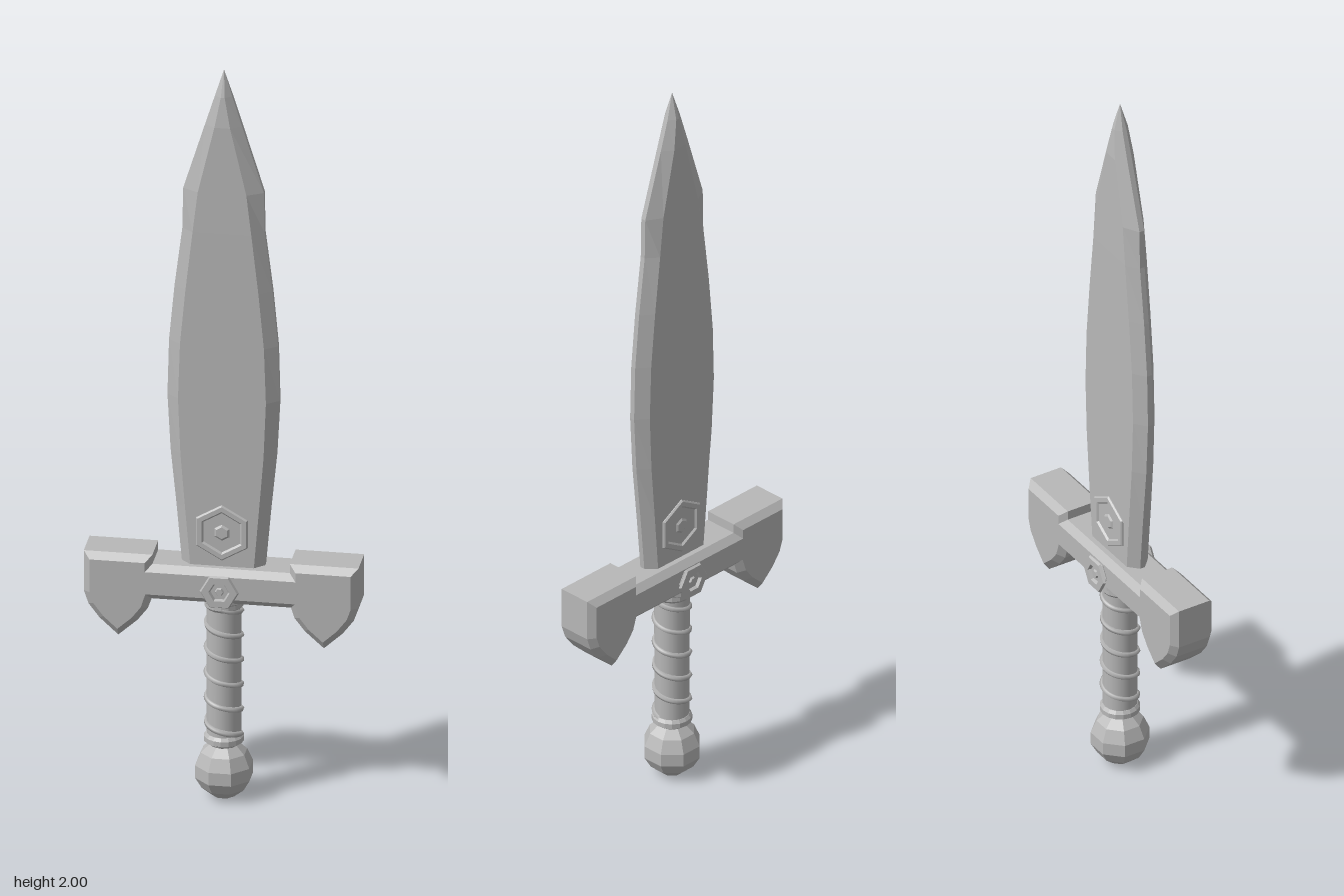
import * as THREE from 'three';

export function createModel() {
  const sword = new THREE.Group();
  sword.name = 'sword';
  const steel = new THREE.MeshStandardMaterial({ color: 0xb8b8b8 });
  steel.name = 'grey steel';

  const add = (name, geometry, flat = true, parent = sword) => {
    let g = geometry;
    if (flat) {
      g = g.index ? g.toNonIndexed() : g;
      g.computeVertexNormals();
    }
    const mesh = new THREE.Mesh(g, steel);
    mesh.name = name;
    parent.add(mesh);
    return mesh;
  };
  const lathe = (points, sides, start = 0) =>
    new THREE.LatheGeometry(points.map(([r, y]) => new THREE.Vector2(r, y)), sides, start);

  // Blade: eight-sided sections [y, half width, flat half width, half thickness]
  const sections = [
    [0.63, 0.105, 0.08, 0.031], [0.8, 0.12, 0.094, 0.032], [0.95, 0.135, 0.106, 0.032],
    [1.1, 0.143, 0.112, 0.032], [1.25, 0.139, 0.107, 0.032], [1.4, 0.125, 0.093, 0.032],
    [1.56, 0.105, 0.075, 0.032], [1.67, 0.103, 0.062, 0.031], [1.85, 0.047, 0.02, 0.028],
    [1.93, 0.022, 0.005, 0.02], [2.0, 0, 0, 0],
  ];
  const verts = [];
  const faces = [];
  sections.forEach(([y, w, f, t], row) => {
    const e = Math.min(0.007, t * 0.3);
    const ring = [[w, e], [f, t], [-f, t], [-w, e], [-w, -e], [-f, -t], [f, -t], [w, -e]];
    ring.forEach(([x, z]) => verts.push(x, y, z));
    if (row === 0) return;
    for (let i = 0; i < 8; i++) {
      const a = (row - 1) * 8 + i;
      const b = (row - 1) * 8 + (i + 1) % 8;
      faces.push(a, b + 8, b, a, a + 8, b + 8);
    }
  });
  for (let i = 1; i < 7; i++) faces.push(0, i, i + 1);
  const blade = new THREE.BufferGeometry();
  blade.setAttribute('position', new THREE.Float32BufferAttribute(verts, 3));
  blade.setIndex(faces);
  add('blade', blade);

  // Crossguard: one bevelled outline, mirrored across x
  const half = [
    [0.175, 0.645], [0.175, 0.67], [0.35, 0.67], [0.35, 0.56], [0.338, 0.525],
    [0.31, 0.488], [0.262, 0.444], [0.213, 0.488], [0.187, 0.522], [0.178, 0.55],
  ];
  const outline = [...half, ...half.map(([x, y]) => [-x, y]).reverse()];
  const guard = new THREE.ExtrudeGeometry(
    new THREE.Shape(outline.map(([x, y]) => new THREE.Vector2(x, y))),
    { depth: 0.09, bevelEnabled: true, bevelSize: 0.017, bevelOffset: -0.017, bevelThickness: 0.017, bevelSegments: 1 },
  );
  guard.translate(0, 0, -0.045);
  add('crossguard', guard);

  // Hexagonal fittings, repeated on the front and the back
  for (const [side, turn] of [['front', 0], ['back', Math.PI]]) {
    const fittings = new THREE.Group();
    fittings.name = side + 'Fittings';
    fittings.rotation.y = turn;
    sword.add(fittings);

    const rivet = lathe([
      [0.036, 0.055], [0.038, 0.064], [0.025, 0.07], [0.05, 0.073], [0.046, 0.079],
      [0.027, 0.079], [0.023, 0.071], [0.012, 0.071], [0.009, 0.076], [0, 0.076],
    ], 6, Math.PI / 2).rotateX(Math.PI / 2).translate(0, 0.592, 0);
    add('guardRivet', rivet, true, fittings);

    const emblem = lathe([
      [0.076, 0.024], [0.076, 0.034], [0.072, 0.038], [0.059, 0.038], [0.054, 0.033],
      [0.022, 0.033], [0.016, 0.037], [0, 0.037],
    ], 6).rotateX(Math.PI / 2).translate(0, 0.738, 0);
    add('bladeEmblem', emblem, true, fittings);
  }

  // Grip core with a spiral binding
  add('grip', new THREE.CylinderGeometry(0.045, 0.044, 0.4, 16).translate(0, 0.35, 0), false);
  const helix = [];
  const turns = 5.25;
  for (let i = 0; i <= 84; i++) {
    const angle = (i / 84) * turns * Math.PI * 2;
    helix.push(new THREE.Vector3(Math.cos(angle) * 0.044, 0.175 + 0.355 * i / 84, Math.sin(angle) * 0.044));
  }
  add('gripBinding', new THREE.TubeGeometry(new THREE.CatmullRomCurve3(helix), 168, 0.0075, 5), false);

  // Collars at both ends of the grip
  add('upperCollar', lathe([[0.044, 0.52], [0.05, 0.528], [0.05, 0.54], [0.058, 0.546], [0.058, 0.556]], 16));
  add('lowerCollar', lathe([
    [0.03, 0.138], [0.042, 0.15], [0.051, 0.155], [0.051, 0.168], [0.045, 0.176], [0.04, 0.178],
  ], 16));

  // Faceted eight-sided pommel
  add('pommel', lathe([
    [0, 0], [0.03, 0.004], [0.058, 0.027], [0.075, 0.056], [0.075, 0.09], [0.06, 0.124], [0.036, 0.146], [0, 0.147],
  ], 8, Math.PI / 8));

  return sword;
}
